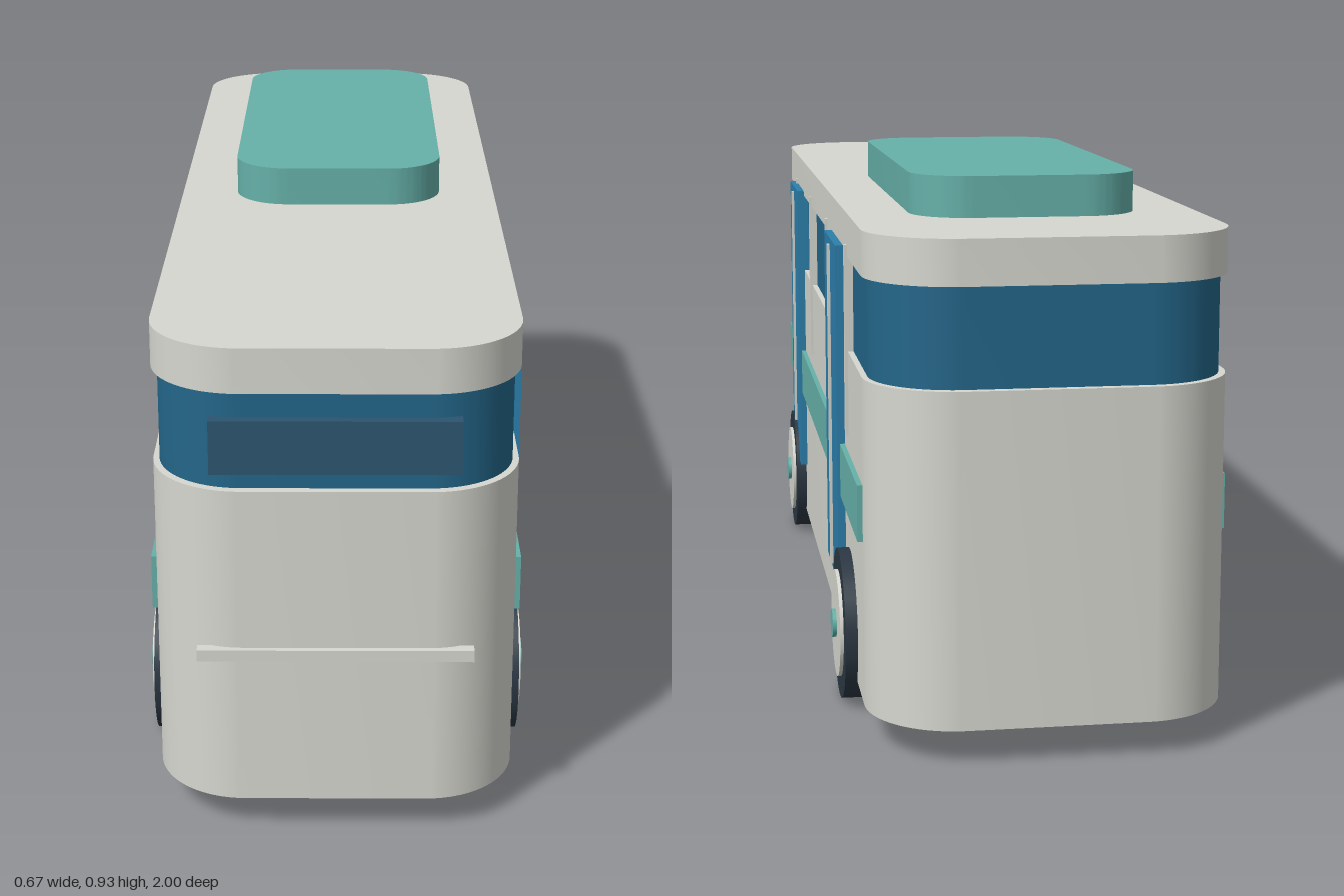
import * as THREE from 'three';
import { toCreasedNormals } from 'three/addons/utils/BufferGeometryUtils.js';

const paint = (color) => new THREE.MeshStandardMaterial({ color });

export function createModel() {
  const bus = new THREE.Group();
  bus.name = 'bus';
  const white = paint(0xd6d7cf), glass = paint(0x236689), teal = paint(0x66b0a9);
  const blue = paint(0x2c7fab), rubber = paint(0x2b3743), panel = paint(0x2c5570);

  function add(name, geometry, material, x = 0, y = 0, z = 0, parent = bus) {
    const mesh = new THREE.Mesh(geometry, material);
    mesh.name = name;
    mesh.position.set(x, y, z);
    parent.add(mesh);
    return mesh;
  }

  // Box given by its limits on each axis
  function box(name, material, [x0, x1], [y0, y1], [z0, z1]) {
    return add(name, new THREE.BoxGeometry(x1 - x0, y1 - y0, z1 - z0), material,
      (x0 + x1) / 2, (y0 + y1) / 2, (z0 + z1) / 2);
  }

  // Upright slab with a rounded rectangular plan
  function slab(name, material, w, z0, z1, y0, y1, r) {
    const l = (z1 - z0) / 2, q = Math.PI / 2;
    const s = new THREE.Shape();
    s.absarc(w - r, l - r, r, 0, q);
    s.absarc(r - w, l - r, r, q, 2 * q);
    s.absarc(r - w, r - l, r, 2 * q, 3 * q);
    s.absarc(w - r, r - l, r, 3 * q, 4 * q);
    s.closePath();
    const g = new THREE.ExtrudeGeometry(s, { depth: y1 - y0, bevelEnabled: false, curveSegments: 12 });
    g.rotateX(-q);
    return add(name, toCreasedNormals(g, 0.6), material, 0, y0, (z0 + z1) / 2);
  }

  // Body shell, window band, roof and roof pod
  slab('lowerBody', white, 0.3, -1, 0.99, 0.06, 0.615, 0.15);
  slab('windowBand', glass, 0.29, -0.985, 0.975, 0.6, 0.79, 0.14);
  slab('roof', white, 0.3, -1, 0.99, 0.78, 0.855, 0.15);
  slab('roofPod', teal, 0.195, -0.715, 0.17, 0.85, 0.925, 0.1);

  // Front display panel and bumper strip
  box('displayPanel', panel, [-0.2, 0.2], [0.645, 0.735], [0.96, 0.992]);
  box('bumperStrip', white, [-0.225, 0.225], [0.32, 0.34], [0.98, 1]);

  // Side stripes and window pillars
  for (const side of [1, -1]) {
    const span = (a, b) => (side > 0 ? [a, b] : [-b, -a]);
    box('sideStripe', teal, span(0.295, 0.309), [0.34, 0.435], [-0.85, 0.845]);
    for (const z of [0.63, 0.22, -0.19, -0.6]) {
      box('windowPillar', white, span(0.288, 0.305), [0.467, 0.8], [z - 0.008, z + 0.008]);
    }
  }

  // Doors on the left side only, each with a centre seam
  for (const z of [0.567, -0.412]) {
    box('door', blue, [0.29, 0.314], [0.175, 0.79], [z - 0.117, z + 0.117]);
    box('doorSeam', white, [0.31, 0.319], [0.185, 0.778], [z - 0.006, z + 0.006]);
  }

  // Wheels: tyre, hub disc and cap stacked outward along x
  for (const side of [1, -1]) {
    for (const z of [0.61, -0.615]) {
      const wheel = new THREE.Group();
      wheel.name = 'wheel';
      wheel.position.set(0, 0.132, z);
      bus.add(wheel);
      for (const [name, r, x0, x1, material] of [
        ['tyre', 0.132, 0.255, 0.321, rubber],
        ['hub', 0.094, 0.3, 0.327, white],
        ['hubCap', 0.025, 0.31, 0.334, teal],
      ]) {
        const g = new THREE.CylinderGeometry(r, r, x1 - x0, 32).rotateZ(Math.PI / 2);
        add(name, g, material, side * (x0 + x1) / 2, 0, 0, wheel);
      }
    }
  }
  return bus;
}
